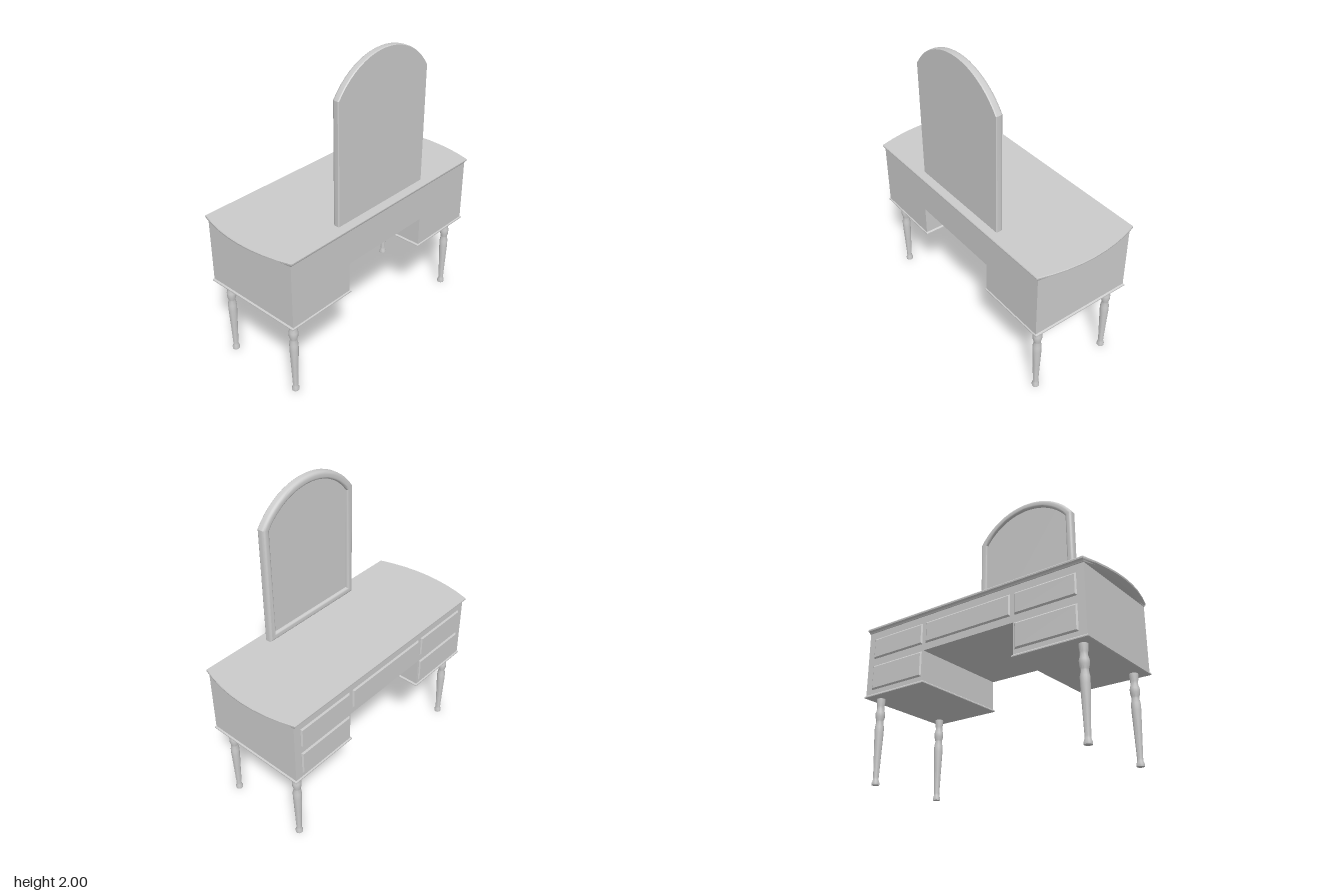
import * as THREE from 'three';
import { toCreasedNormals } from 'three/addons/utils/BufferGeometryUtils.js';

const material = new THREE.MeshStandardMaterial({ color: 0xcccccc });

// Skin between convex counter-clockwise rings of [x, y, z] that advance along +z, with fan caps.
function loft(rings, capEnd = true) {
  const n = rings[0].length;
  const index = [];
  for (let r = 0; r < rings.length - 1; r++) {
    for (let i = 0; i < n; i++) {
      const a = r * n + i, b = r * n + (i + 1) % n;
      index.push(a, b, b + n, a, b + n, a + n);
    }
  }
  const last = (rings.length - 1) * n;
  for (let i = 1; i < n - 1; i++) {
    index.push(0, i + 1, i);
    if (capEnd) index.push(last, last + i, last + i + 1);
  }
  const geometry = new THREE.BufferGeometry();
  geometry.setAttribute('position', new THREE.Float32BufferAttribute(rings.flat(2), 3));
  geometry.setIndex(index);
  return toCreasedNormals(geometry.toNonIndexed(), 0.5);
}

const rectRing = (w, h, z) => [[-w, -h, z], [w, -h, z], [w, h, z], [-w, h, z]];

// Table outline with bowed ends: half length at corner, extra bow, half depth
function topRing(corner, bow, depth, z) {
  const side = [];
  for (let i = 0; i <= 8; i++) {
    const t = i / 4 - 1;
    side.push([corner + bow * (1 - t * t), depth * t, z]);
  }
  return [...side, ...side.map(([x, y]) => [-x, -y, z])];
}

// Arched mirror outline, moved inward by an inset
function archRing(inset, z) {
  const w = 0.385 - inset, radius = 0.464 - inset, centre = 1.536;
  const start = Math.acos(w / radius);
  const ring = [[-w, 1.012 + inset, z], [w, 1.012 + inset, z]];
  for (let i = 0; i <= 20; i++) {
    const a = start + (Math.PI - 2 * start) * i / 20;
    ring.push([radius * Math.cos(a), centre + radius * Math.sin(a), z]);
  }
  return ring;
}

export function createModel() {
  const model = new THREE.Group();
  const add = (name, geometry, x = 0, y = 0, z = 0) => {
    const mesh = new THREE.Mesh(geometry, material);
    mesh.name = name;
    mesh.position.set(x, y, z);
    model.add(mesh);
    return mesh;
  };

  // Cabinet with kneehole
  const outline = new THREE.Shape([
    [-0.812, 0.555], [-0.337, 0.555], [-0.337, 0.755], [0.337, 0.755],
    [0.337, 0.555], [0.812, 0.555], [0.812, 0.987], [-0.812, 0.987],
  ].map(([x, y]) => new THREE.Vector2(x, y)));
  add('cabinet', new THREE.ExtrudeGeometry(outline, { depth: 0.697, bevelEnabled: false }), 0, 0, -0.346);

  // Table top: moulded lower edge under a bowed slab
  add('tableTop', loft([
    topRing(0.814, 0.02, 0.352, 0.985),
    topRing(0.816, 0.048, 0.356, 0.994),
    topRing(0.818, 0.06, 0.365, 1.001),
    topRing(0.818, 0.062, 0.366, 1.01),
    topRing(0.816, 0.061, 0.363, 1.015),
  ]).rotateX(-Math.PI / 2));

  for (const side of [-1, 1]) {
    // Moulding below each pedestal
    add('pedestalMoulding', loft([
      rectRing(0.24, 0.349, 0.543),
      rectRing(0.247, 0.355, 0.547),
      rectRing(0.247, 0.355, 0.554),
      rectRing(0.238, 0.348, 0.561),
    ]).rotateX(-Math.PI / 2), side * 0.574, 0, 0.002);

    // Turned legs
    const profile = [
      [0, 0], [0.023, 0], [0.024, 0.012], [0.018, 0.03], [0.017, 0.045], [0.023, 0.2],
      [0.028, 0.32], [0.028, 0.36], [0.022, 0.392], [0.023, 0.402], [0.029, 0.425],
      [0.029, 0.452], [0.022, 0.478], [0.023, 0.495], [0.027, 0.53], [0.027, 0.546],
    ].map(([r, y]) => new THREE.Vector2(r, y));
    for (const z of [-0.278, 0.278]) {
      add('leg', toCreasedNormals(new THREE.LatheGeometry(profile, 16), 0.6), side * 0.745, 0, z);
    }
  }

  // Drawer fronts with bevelled edges
  const drawer = (x, y, w, h) => add('drawerFront', loft([
    rectRing(w, h, 0),
    rectRing(w, h, 0.004),
    rectRing(w - 0.009, h - 0.009, 0.011),
  ]).rotateY(Math.PI), x, y, -0.345);
  drawer(0, 0.868, 0.32, 0.068);
  for (const side of [-1, 1]) {
    drawer(side * 0.555, 0.868, 0.207, 0.068);
    drawer(side * 0.555, 0.67, 0.207, 0.08);
  }

  // Mirror frame with rounded front edge, flat back and recessed glass
  const rings = [archRing(0.004, -0.31), archRing(0, -0.304)];
  for (let i = 0; i <= 4; i++) {
    const a = i * Math.PI / 8;
    rings.push(archRing(0.02 * (1 - Math.cos(a)), -0.28 + 0.02 * Math.sin(a)));
  }
  for (let i = 0; i <= 4; i++) {
    const a = i * Math.PI / 8;
    rings.push(archRing(0.035 + 0.015 * Math.sin(a), -0.275 + 0.015 * Math.cos(a)));
  }
  rings.push(archRing(0.05, -0.285));
  add('mirrorFrame', loft(rings, false).rotateY(Math.PI));
  add('mirrorGlass', loft([archRing(0.048, -0.3), archRing(0.048, -0.28)]).rotateY(Math.PI));

  return model;
}
